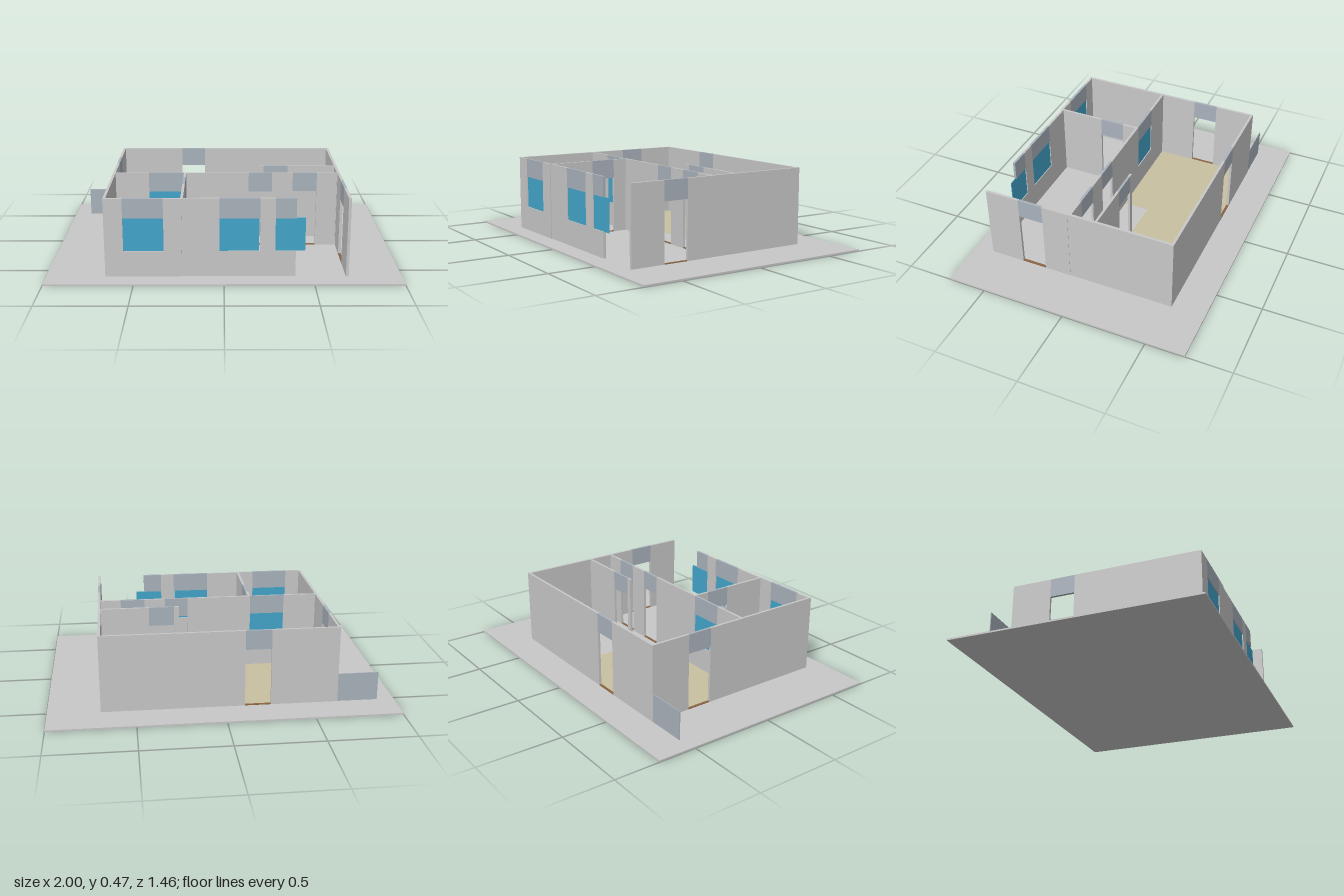
import * as THREE from 'three';

const mat = (name, color) => {
  const m = new THREE.MeshStandardMaterial({ color });
  m.name = name;
  return m;
};

export function createModel() {
  const house = new THREE.Group();
  house.name = 'house';
  const grey = mat('plaster grey', 0xc8c8c8);
  const blue = mat('lintel blue grey', 0xa9b2bc);
  const glass = mat('window teal', 0x43a5cb);
  const tan = mat('floor tan', 0xc9c0a0);
  const brown = mat('threshold brown', 0x8a6542);

  const FLOOR = 0.01, TOP = 0.466, HEAD = 0.352, SILL = 0.16;

  // Box given by its limits on each axis
  function box(name, material, x0, x1, y0, y1, z0, z1, parent = house) {
    const mesh = new THREE.Mesh(new THREE.BoxGeometry(x1 - x0, y1 - y0, z1 - z0), material);
    mesh.position.set((x0 + x1) / 2, (y0 + y1) / 2, (z0 + z1) / 2);
    mesh.name = name;
    parent.add(mesh);
  }

  // Straight wall from a to b along an axis, c0..c1 thick, with openings.
  // An opening is [start, end, kind, glassEnd]
  function wall(name, axis, a, b, c0, c1, openings = []) {
    const group = new THREE.Group();
    group.name = name;
    house.add(group);
    const piece = (label, m, s, e, y0, y1, t0 = c0, t1 = c1) => axis === 'x'
      ? box(label, m, s, e, y0, y1, t0, t1, group)
      : box(label, m, t0, t1, y0, y1, s, e, group);
    const mid = (c0 + c1) / 2;
    let at = a;
    for (const [s, e, kind, glassEnd = e] of openings) {
      if (s > at) piece('wallPanel', grey, at, s, FLOOR, TOP);
      piece('lintel', blue, s, e, HEAD, TOP);
      if (kind === 'window') {
        piece('sillWall', grey, s, e, FLOOR, SILL);
        piece('windowPane', glass, s, glassEnd, SILL, HEAD, mid - 0.002, mid + 0.002);
      } else {
        piece('threshold', brown, s, e, FLOOR, FLOOR + 0.004);
      }
      at = e;
    }
    if (b > at) piece('wallPanel', grey, at, b, FLOOR, TOP);
  }

  // Ground slab and tan room floors
  box('groundSlab', grey, -1, 1, 0, FLOOR, -0.73, 0.73);
  box('mainRoomFloor', tan, -0.65, 0.215, FLOOR, FLOOR + 0.002, -0.517, -0.073);
  box('hallFloor', tan, -0.65, -0.035, FLOOR, FLOOR + 0.002, -0.073, 0.08);

  // Outer walls
  wall('backWall', 'x', -0.665, 0.697, -0.532, -0.517, [[-0.275, -0.125, 'door']]);
  wall('rightSideWall', 'z', -0.517, 0.617, -0.665, -0.65, [[-0.29, -0.14, 'door']]);
  wall('leftSideWallBack', 'z', -0.517, 0.1, 0.681, 0.697);
  wall('leftSideWallFront', 'z', 0.1, 0.617, 0.683, 0.699, [[0.26, 0.41, 'door']]);
  wall('frontWallRightPart', 'x', -0.65, -0.235, 0.602, 0.617, [[-0.56, -0.335, 'window']]);
  wall('frontWallMiddle', 'x', -0.235, 0.4, 0.598, 0.612,
    [[-0.025, 0.2, 'window', 0.195], [0.285, 0.4, 'window', 0.452]]);

  // Partitions
  wall('crossPartition', 'x', -0.65, 0.683, 0.08, 0.095,
    [[-0.45, -0.24, 'window'], [0.15, 0.29, 'door'], [0.415, 0.56, 'door']]);
  wall('smallRoomPartition', 'x', 0.215, 0.681, -0.077, -0.063, [[0.245, 0.395, 'door']]);
  wall('frontRoomPartition', 'z', 0.095, 0.6, -0.24, -0.225, [[0.18, 0.33, 'door']]);

  // Low screen beside the back corner
  box('yardScreen', blue, -0.9, -0.665, FLOOR, 0.18, -0.53, -0.525);
  return house;
}
